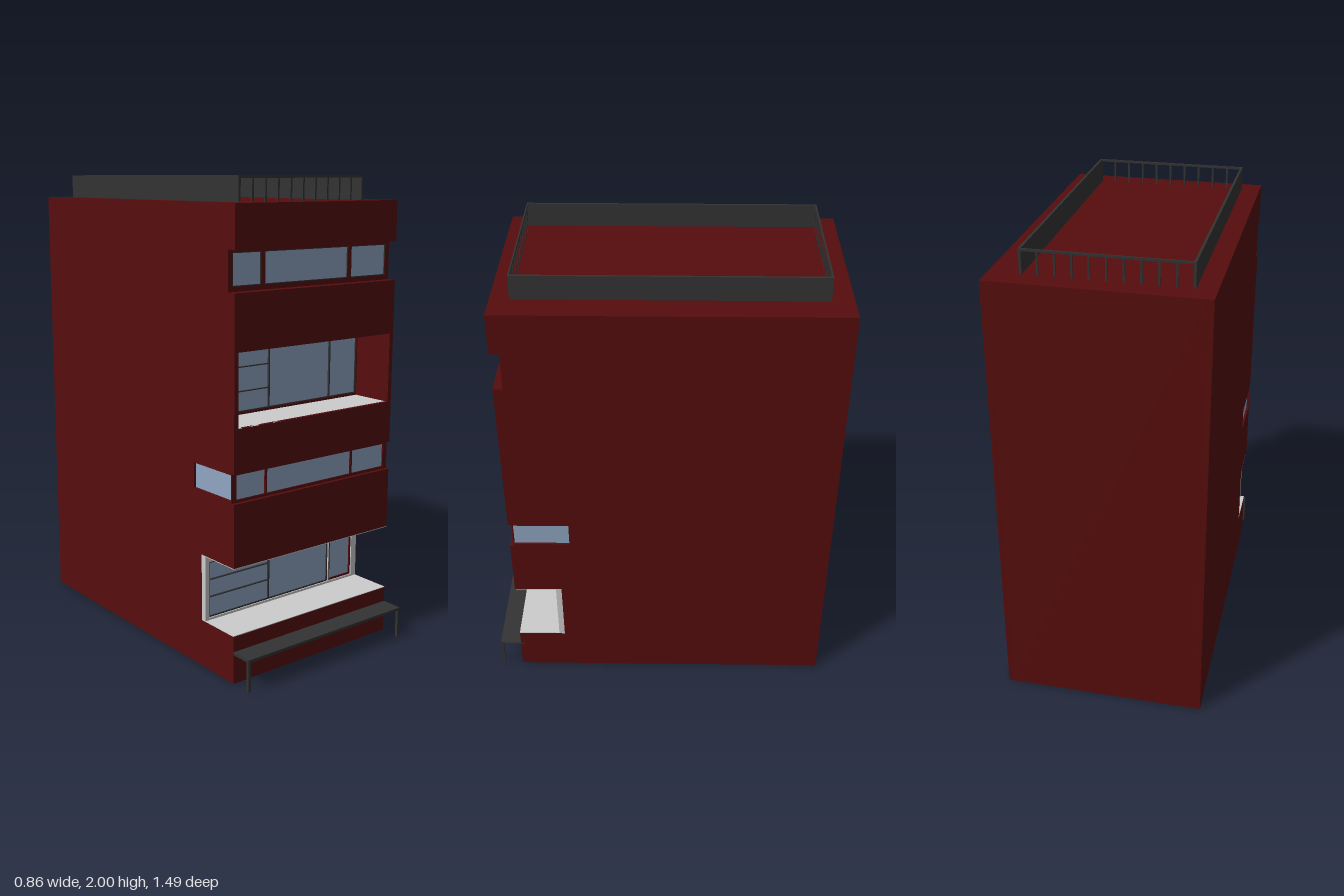
import * as THREE from 'three';

const paint = (name, hex) => {
  const m = new THREE.MeshStandardMaterial({ color: hex, side: THREE.DoubleSide });
  m.name = name;
  return m;
};

export function createModel() {
  const red = paint('dark red wall', 0x560d0d);
  const glass = paint('blue glass', 0x8fa6c2);
  const grey = paint('light grey', 0xcccccc);
  const dark = paint('dark metal', 0x333333);
  const model = new THREE.Group();
  const W = 0.43, IN = 0.41, FRONT = 0.65, BACK = -0.745, TOP = 1.9;

  const group = (name) => {
    const g = new THREE.Group();
    g.name = name;
    model.add(g);
    return g;
  };
  // box given by its limits on each axis
  const box = (parent, name, mat, [x0, x1], [y0, y1], [z0, z1]) => {
    const m = new THREE.Mesh(new THREE.BoxGeometry(x1 - x0, y1 - y0, z1 - z0), mat);
    m.position.set((x0 + x1) / 2, (y0 + y1) / 2, (z0 + z1) / 2);
    m.name = name;
    parent.add(m);
    return m;
  };
  const rect = (path, [x0, x1, y0, y1]) =>
    path.moveTo(x0, y0).lineTo(x1, y0).lineTo(x1, y1).lineTo(x0, y1).closePath();
  // upright panel facing the front, with rectangular holes
  const panel = (parent, name, mat, limits, zFront, depth, holes = []) => {
    const s = rect(new THREE.Shape(), limits);
    holes.forEach((h) => s.holes.push(rect(new THREE.Path(), h)));
    const m = new THREE.Mesh(new THREE.ExtrudeGeometry(s, { depth, bevelEnabled: false }), mat);
    m.position.z = zFront - depth;
    m.name = name;
    parent.add(m);
  };
  // pane with a thin border
  const pane = (parent, name, [x0, x1, y0, y1], z, border, t = 0.004) => {
    box(parent, name + 'Glass', glass, [x0, x1], [y0, y1], [z - 0.004, z]);
    panel(parent, name + 'Border', border, [x0, x1, y0, y1], z + 0.004, 0.01,
      [[x0 + t, x1 - t, y0 + t, y1 - t]]);
  };

  // side walls, notched at the front and pierced by the corner window
  const shell = group('shell');
  const profile = [[BACK, 0], [FRONT, 0], [FRONT, 0.202], [0.44, 0.202], [0.44, 0.488],
    [FRONT, 0.488], [FRONT, 0.75], [0.635, 0.75], [0.635, 0.87], [FRONT, 0.87],
    [FRONT, 1.57], [0.61, 1.57], [0.61, 1.73], [FRONT, 1.73], [FRONT, TOP], [BACK, TOP]];
  const sideShape = new THREE.Shape(profile.map(([z, y]) => new THREE.Vector2(-z, y)));
  sideShape.holes.push(rect(new THREE.Path(), [-0.63, -0.39, 0.76, 0.865]));
  const sideGeo = new THREE.ExtrudeGeometry(sideShape, { depth: W - IN, bevelEnabled: false });
  sideGeo.rotateY(Math.PI / 2);
  for (const s of [-1, 1]) {
    const wall = new THREE.Mesh(sideGeo, red);
    wall.name = 'sideWall';
    wall.position.x = s > 0 ? IN : -W;
    shell.add(wall);
    box(shell, 'sideWindow', glass, s > 0 ? [0.416, 0.42] : [-0.42, -0.416], [0.76, 0.865], [0.39, 0.63]);
  }

  // back, roof and the solid front bands; the base stays open
  box(shell, 'backWall', red, [-IN, IN], [0, TOP], [BACK, BACK + 0.02]);
  box(shell, 'roof', red, [-IN, IN], [TOP - 0.02, TOP], [BACK + 0.02, FRONT]);
  for (const [y0, y1] of [[0, 0.202], [0.488, 0.75], [0.87, 1.05], [1.345, 1.57], [1.73, TOP]])
    box(shell, 'frontBand', red, [-IN, IN], [y0, y1], [FRONT - 0.015, FRONT]);
  // sills and soffits of the shallow window strips
  for (const [y0, y1, z] of [[0.74, 0.75, 0.62], [0.87, 0.88, 0.62], [1.56, 1.57, 0.59], [1.73, 1.74, 0.59]])
    box(shell, 'windowLedge', red, [-IN, IN], [y0, y1], [z, FRONT - 0.015]);

  // ground floor: open terrace with grey wall, long window and door
  const ground = group('groundTerrace');
  box(ground, 'terraceFloor', grey, [-W, W], [0.202, 0.205], [0.44, FRONT]);
  box(ground, 'terraceCeiling', grey, [-W, W], [0.485, 0.488], [0.44, FRONT]);
  const longWindow = [-0.41, 0.257, 0.215, 0.457], door = [0.262, 0.4, 0.215, 0.455];
  panel(ground, 'terraceWall', grey, [-W, W, 0.205, 0.485], 0.465, 0.025, [longWindow, door]);
  pane(ground, 'longWindow', longWindow, 0.456, dark, 0.006);
  pane(ground, 'door', door, 0.456, red, 0.009);

  // first upper strip with corner windows
  const strip = group('cornerWindowStrip');
  const low = [[-0.407, -0.259], [-0.251, 0.211], [0.219, 0.407]].map((p) => [...p, 0.76, 0.863]);
  panel(strip, 'stripWall', red, [-IN, IN, 0.75, 0.87], 0.635, 0.01, low);
  low.forEach((p) => pane(strip, 'stripWindow', p, 0.63, red, 0.002));

  // recessed balcony
  const balcony = group('balcony');
  box(balcony, 'balconyFloor', grey, [-IN, IN], [1.047, 1.05], [0.44, FRONT - 0.001]);
  box(balcony, 'balconyCeiling', red, [-IN, IN], [1.345, 1.355], [0.44, FRONT - 0.015]);
  const wide = [-0.405, 0.405, 1.06, 1.342];
  panel(balcony, 'balconyWall', red, [-IN, IN, 1.05, 1.345], 0.46, 0.02, [wide]);
  pane(balcony, 'balconyWindow', wide, 0.453, dark);

  // slim glazing bars of the two deep windows
  const bars = (parent, z, [y0, y1], rows, posts) => {
    posts.forEach((x) => box(parent, 'glazingPost', dark, [x - 0.003, x + 0.003], [y0, y1], [z - 0.012, z + 0.008]));
    rows.forEach((y) => box(parent, 'glazingBar', dark, [-0.405, -0.095], [y - 0.002, y + 0.002], [z - 0.012, z + 0.008]));
  };
  bars(ground, 0.456, [0.22, 0.455], [0.305, 0.38], [-0.09]);
  bars(balcony, 0.453, [1.062, 1.34], [1.145, 1.245], [-0.095, 0.245]);

  // top window strip
  const upper = group('topWindowStrip');
  const high = [[-0.408, -0.268], [-0.25, 0.192], [0.21, 0.408]].map((p) => [...p, 1.59, 1.718]);
  panel(upper, 'stripWall', red, [-IN, IN, 1.57, 1.73], 0.61, 0.015, high);
  high.forEach((p) => pane(upper, 'topWindow', p, 0.605, dark, 0.003));

  // entrance canopy on two legs
  const canopy = group('canopy');
  box(canopy, 'canopyDeck', dark, [-W, W], [0.125, 0.137], [0.634, 0.745]);
  for (const x of [-0.424, 0.424])
    box(canopy, 'canopyLeg', dark, [x - 0.006, x + 0.006], [0, 0.125], [0.733, 0.745]);

  // roof railing: solid sides, barred ends
  const railing = group('roofRailing');
  const L = -0.345, R = 0.302, N = 10;
  for (const x of [L, R])
    box(railing, 'railingSide', dark, [x - 0.005, x + 0.005], [TOP, 2], [-0.655, 0.572]);
  for (const z of [-0.652, 0.569]) {
    box(railing, 'topRail', dark, [L, R], [1.99, 2], [z - 0.003, z + 0.003]);
    for (let i = 1; i < N; i++) {
      const x = L + (R - L) * i / N;
      box(railing, 'railingBar', dark, [x - 0.004, x + 0.004], [TOP, 1.99], [z - 0.003, z + 0.003]);
    }
  }
  return model;
}
